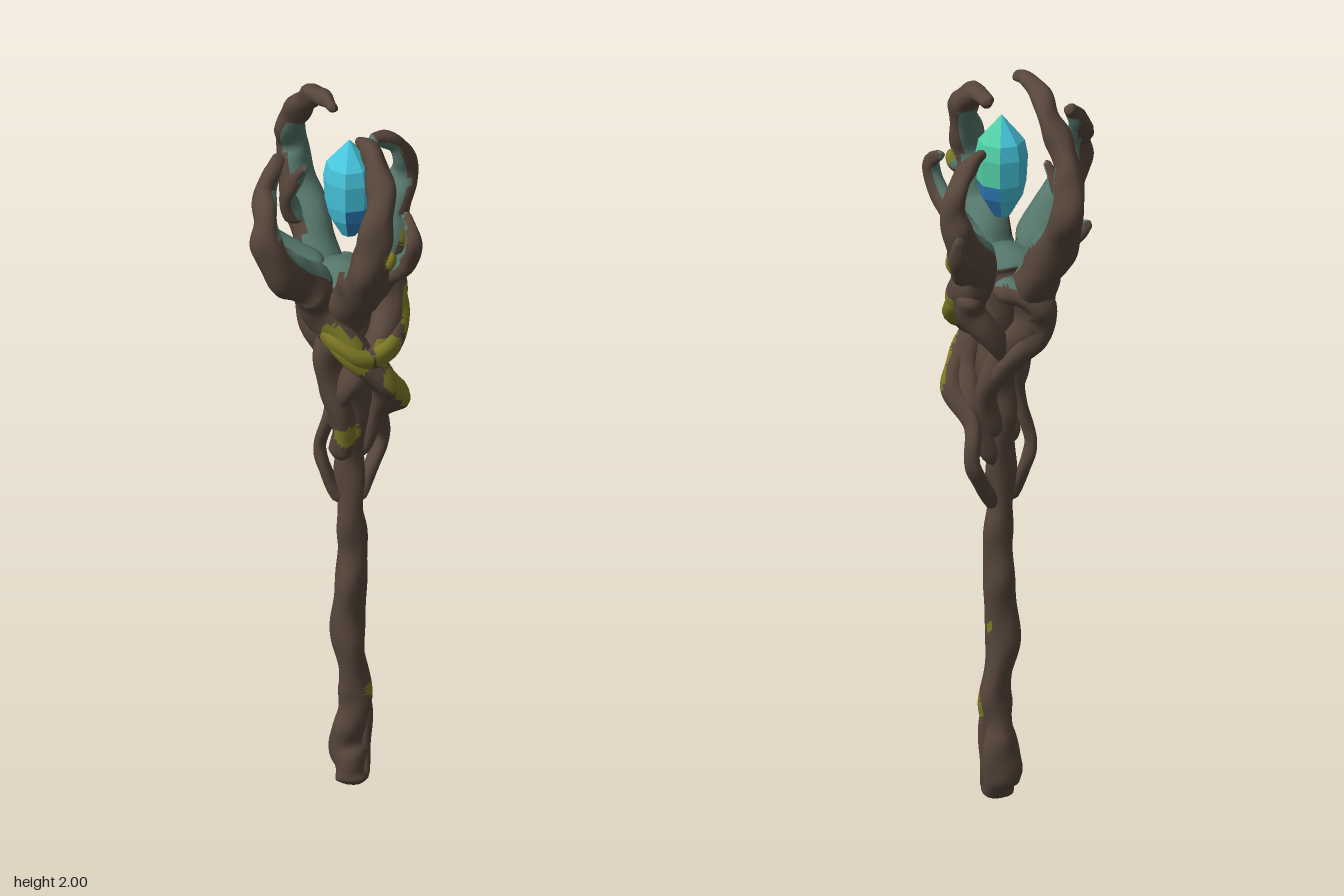
import * as THREE from 'three';

const mat = (name, color, extra = {}) => {
  const m = new THREE.MeshStandardMaterial({ color, ...extra });
  m.name = name;
  return m;
};

// Sorts the triangles of an indexed geometry into material groups by a rule(centroid, normal)
function paint(geo, count, rule) {
  const pos = geo.attributes.position, old = geo.index.array;
  const lists = Array.from({ length: count }, () => []);
  const tri = new THREE.Triangle(), mid = new THREE.Vector3(), normal = new THREE.Vector3();
  for (let i = 0; i < old.length; i += 3) {
    tri.setFromAttributeAndIndices(pos, old[i], old[i + 1], old[i + 2]);
    tri.getMidpoint(mid);
    tri.getNormal(normal);
    lists[rule(mid, normal)].push(old[i], old[i + 1], old[i + 2]);
  }
  geo.setIndex(lists.flat());
  geo.clearGroups();
  let start = 0;
  lists.forEach((list, k) => {
    if (list.length) geo.addGroup(start, list.length, k);
    start += list.length;
  });
  return geo;
}

// Gnarled limb with rounded ends; each point is [x, y, z, radius]
function limbGeometry(points, sides = 16) {
  const curve = new THREE.CatmullRomCurve3(points.map(p => new THREE.Vector3(p[0], p[1], p[2])));
  const length = curve.getLength();
  const rings = Math.max(24, Math.round(length / 0.009));
  const positions = [], index = [];
  const side = new THREE.Vector3(0.3, 0.1, 1), other = new THREE.Vector3(), v = new THREE.Vector3();
  for (let i = 0; i <= rings; i++) {
    const t = i / rings, f = t * (points.length - 1);
    const k = Math.min(Math.floor(f), points.length - 2);
    const c = curve.getPoint(t), tangent = curve.getTangent(t);
    side.addScaledVector(tangent, -side.dot(tangent)).normalize();
    other.crossVectors(tangent, side);
    const r = THREE.MathUtils.lerp(points[k][3], points[k + 1][3], f - k);
    const round = Math.min(1, Math.sqrt(Math.min(t, 1 - t) * length / r));
    for (let j = 0; j < sides; j++) {
      const a = j / sides * Math.PI * 2, s = t * length;
      const bark = 1 + 0.08 * Math.sin(3 * a + 14 * s) + 0.07 * Math.sin(2 * a - 37 * s) + 0.05 * Math.sin(52 * s);
      v.copy(c).addScaledVector(side, Math.cos(a) * r * round * bark)
        .addScaledVector(other, Math.sin(a) * r * round * bark);
      positions.push(v.x, v.y, v.z);
      if (i < rings) {
        const n = (j + 1) % sides, p = i * sides, q = p + sides;
        index.push(p + j, p + n, q + n, p + j, q + n, q + j);
      }
    }
  }
  const geo = new THREE.BufferGeometry();
  geo.setAttribute('position', new THREE.Float32BufferAttribute(positions, 3));
  geo.setIndex(index);
  geo.computeVertexNormals();
  return geo;
}

// Moss patches: centre and radius
const MOSS = [
  [0.02, 1.05, 0.07, 0.034], [-0.01, 1.36, 0.13, 0.045], [0.02, 1.33, 0.135, 0.05], [0.055, 1.30, 0.13, 0.042],
  [0.13, 1.31, 0.08, 0.045], [0.14, 1.23, 0.075, 0.035], [0.155, 1.19, 0.045, 0.035], [0.165, 1.15, 0.01, 0.035],
  [0.145, 1.33, -0.01, 0.035], [0.145, 1.36, -0.04, 0.036], [0.14, 1.39, -0.07, 0.036],
  [0.14, 1.53, -0.12, 0.04], [0.165, 1.67, 0.21, 0.032],
  [0.066, 0.28, 0.012, 0.022], [0.066, 0.255, -0.005, 0.02], [0.055, 0.48, -0.025, 0.024],
].map(([x, y, z, r]) => ({ c: new THREE.Vector3(x, y, z), r }));

export function createModel() {
  const staff = new THREE.Group();
  staff.name = 'staff';
  const wood = [mat('bark brown', 0x57463b), mat('inner teal', 0x55766b), mat('moss olive', 0x7f7a26)];
  const gem = [
    mat('crystal cyan', 0x47c6de, { flatShading: true }),
    mat('crystal green', 0x52cfa8, { flatShading: true }),
    mat('crystal blue', 0x2f7fbd, { flatShading: true }),
  ];

  const heart = new THREE.Vector3(0, 1.78, 0), toHeart = new THREE.Vector3();
  const woodRule = (p, n) => {
    if (MOSS.some(m => p.distanceTo(m.c) < m.r)) return 2;
    toHeart.subVectors(heart, p).normalize();
    return p.y > 1.45 && p.y < 1.83 && n.dot(toHeart) > 0.33 ? 1 : 0;
  };
  const limb = (name, points) => {
    const mesh = new THREE.Mesh(paint(limbGeometry(points), 3, woodRule), wood);
    mesh.name = name;
    staff.add(mesh);
  };

  // Shaft with its knobbly foot, thickening into the core of the head
  limb('shaft', [
    [0.03, 0.003, 0.035, 0.034], [0.022, 0.05, 0.022, 0.044], [0.01, 0.11, 0.003, 0.05],
    [0.02, 0.2, 0.005, 0.041], [0.03, 0.29, 0.006, 0.038], [0.013, 0.43, 0.02, 0.041],
    [0.018, 0.58, 0.022, 0.041], [0.02, 0.7, 0.012, 0.036], [0.015, 0.82, 0.008, 0.034],
    [0.015, 0.95, 0.0, 0.036], [0.02, 1.08, 0.01, 0.042], [0.02, 1.2, 0.01, 0.055],
    [0.0, 1.32, 0.0, 0.066], [0.0, 1.42, -0.005, 0.084], [0.0, 1.48, 0.0, 0.085], [0.0, 1.52, 0.0, 0.06],
  ]);
  limb('footRoot', [
    [0.05, 0.02, 0.03, 0.016], [0.05, 0.1, 0.005, 0.018], [0.052, 0.2, 0.0, 0.018], [0.045, 0.3, 0.005, 0.012],
  ]);

  // Four clawed prongs, each a strand that winds around the core and closes over the crystal
  limb('frontRightProng', [
    [0.03, 0.93, -0.03, 0.02], [0.08, 1.08, -0.03, 0.028], [0.105, 1.19, 0.035, 0.034],
    [0.035, 1.32, 0.08, 0.042], [-0.045, 1.42, 0.07, 0.05], [-0.075, 1.5, 0.095, 0.06],
    [-0.12, 1.57, 0.16, 0.053], [-0.16, 1.66, 0.2, 0.04], [-0.168, 1.735, 0.185, 0.032],
    [-0.178, 1.79, 0.14, 0.028], [-0.165, 1.835, 0.105, 0.022], [-0.15, 1.865, 0.075, 0.012],
  ]);
  limb('frontLeftProng', [
    [-0.01, 0.96, 0.04, 0.024], [0.01, 1.06, 0.05, 0.034], [-0.02, 1.18, 0.06, 0.036],
    [-0.03, 1.3, 0.055, 0.042], [0.015, 1.41, 0.065, 0.05], [0.05, 1.5, 0.105, 0.06],
    [0.08, 1.57, 0.175, 0.054], [0.095, 1.66, 0.205, 0.047], [0.11, 1.74, 0.195, 0.04],
    [0.118, 1.82, 0.155, 0.036], [0.1, 1.875, 0.115, 0.031], [0.07, 1.9, 0.065, 0.024], [0.042, 1.89, 0.025, 0.014],
  ]);
  limb('backLeftProng', [
    [0.0, 1.02, 0.02, 0.024], [0.0, 1.15, 0.06, 0.03], [0.05, 1.25, 0.075, 0.034],
    [0.095, 1.32, 0.03, 0.042], [0.095, 1.4, -0.05, 0.05], [0.07, 1.49, -0.09, 0.06],
    [0.09, 1.56, -0.145, 0.053], [0.115, 1.64, -0.185, 0.039], [0.122, 1.7, -0.19, 0.03],
    [0.105, 1.765, -0.17, 0.025], [0.08, 1.8, -0.14, 0.021], [0.05, 1.82, -0.1, 0.012],
  ]);
  limb('backRightProng', [
    [0.02, 1.0, -0.02, 0.02], [0.05, 1.13, -0.04, 0.03], [0.0, 1.24, -0.05, 0.038],
    [-0.06, 1.33, -0.06, 0.044], [-0.07, 1.43, -0.08, 0.054], [-0.1, 1.53, -0.135, 0.058],
    [-0.145, 1.63, -0.175, 0.048], [-0.165, 1.72, -0.205, 0.04], [-0.168, 1.79, -0.18, 0.036],
    [-0.145, 1.86, -0.145, 0.034], [-0.11, 1.92, -0.11, 0.03], [-0.085, 1.965, -0.06, 0.026],
    [-0.05, 1.983, -0.015, 0.019], [-0.02, 1.975, 0.025, 0.012],
  ]);

  // Loose roots that arch away from the shaft below the head
  limb('rightArchRoot', [
    [-0.005, 0.82, 0.015, 0.015], [-0.04, 0.9, 0.02, 0.018], [-0.06, 0.98, 0.02, 0.015],
    [-0.035, 1.08, 0.02, 0.018], [-0.025, 1.2, 0.0, 0.024], [-0.07, 1.32, 0.02, 0.032],
    [-0.095, 1.4, 0.01, 0.03], [-0.1, 1.47, 0.03, 0.022],
  ]);
  limb('leftArchRoot', [
    [0.03, 0.81, -0.01, 0.016], [0.06, 0.89, -0.05, 0.021], [0.08, 0.96, -0.085, 0.019],
    [0.08, 1.05, -0.06, 0.022], [0.132, 1.135, 0.0, 0.032], [0.115, 1.2, 0.05, 0.034],
    [0.055, 1.28, 0.085, 0.034], [-0.03, 1.36, 0.08, 0.03], [-0.09, 1.42, 0.03, 0.028],
  ]);
  limb('mossyBand', [
    [-0.05, 1.39, 0.06, 0.024], [0.0, 1.34, 0.1, 0.03], [0.07, 1.3, 0.09, 0.03],
    [0.115, 1.31, 0.05, 0.032], [0.125, 1.36, -0.03, 0.032], [0.09, 1.44, -0.08, 0.034],
  ]);
  // Knotted strands crossing the back of the head
  limb('backKnot', [
    [0.04, 1.16, -0.05, 0.024], [-0.02, 1.24, -0.07, 0.03], [-0.08, 1.32, -0.08, 0.034],
    [-0.095, 1.39, -0.1, 0.038], [-0.05, 1.43, -0.11, 0.034], [0.03, 1.45, -0.1, 0.028],
  ]);
  limb('backCrossing', [
    [-0.03, 1.2, -0.03, 0.024], [0.02, 1.29, -0.07, 0.032], [0.08, 1.37, -0.085, 0.038], [0.08, 1.45, -0.11, 0.034],
  ]);

  // Small twigs and stubs around the bowl
  limb('leftTwig', [
    [0.06, 1.46, 0.05, 0.044], [0.12, 1.54, 0.08, 0.033], [0.175, 1.61, 0.125, 0.025],
    [0.195, 1.68, 0.135, 0.02], [0.165, 1.73, 0.08, 0.012],
  ]);
  limb('rightTwig', [
    [-0.05, 1.46, -0.02, 0.04], [-0.12, 1.52, -0.02, 0.026], [-0.18, 1.565, -0.02, 0.018], [-0.21, 1.6, -0.015, 0.012],
  ]);
  limb('innerTwig', [
    [-0.13, 1.54, -0.13, 0.03], [-0.158, 1.63, -0.095, 0.022], [-0.13, 1.71, -0.06, 0.017], [-0.1, 1.77, -0.03, 0.009],
  ]);
  limb('backStub', [
    [0.09, 1.48, -0.1, 0.034], [0.105, 1.53, -0.17, 0.03], [0.11, 1.58, -0.22, 0.022], [0.105, 1.645, -0.24, 0.012],
  ]);
  limb('mossKnob', [[0.09, 1.48, -0.09, 0.03], [0.12, 1.52, -0.11, 0.026], [0.13, 1.55, -0.11, 0.018]]);
  limb('prongKnob', [[0.11, 1.63, 0.19, 0.026], [0.14, 1.66, 0.205, 0.022], [0.155, 1.685, 0.205, 0.012]]);

  // Eight-sided faceted crystal floating between the prongs
  const profile = [[0, 1.598], [0.022, 1.605], [0.053, 1.66], [0.062, 1.7], [0.066, 1.77], [0.058, 1.81], [0, 1.878]]
    .map(([r, y]) => new THREE.Vector2(r, y));
  const crystalGeo = paint(new THREE.LatheGeometry(profile, 8), 3, p => {
    if (p.y < 1.7) return p.x > 0 ? 2 : 0;
    return p.x > 0 && p.z < 0 ? 1 : 0;
  });
  const crystal = new THREE.Mesh(crystalGeo, gem);
  crystal.name = 'crystal';
  crystal.position.x = 0.012;
  staff.add(crystal);

  return staff;
}
